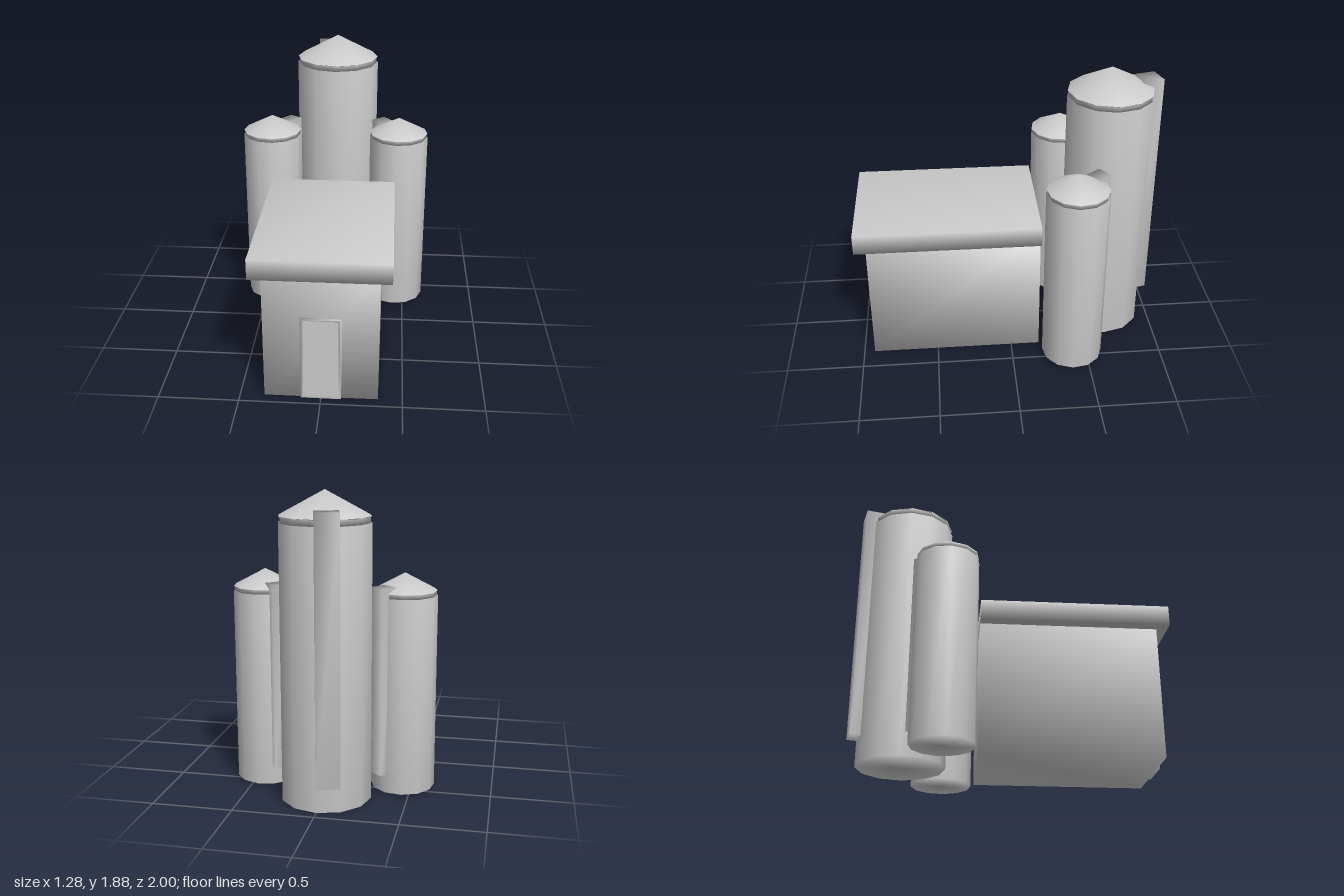
import * as THREE from 'three';
import { mergeVertices } from 'three/addons/utils/BufferGeometryUtils.js';

const material = new THREE.MeshStandardMaterial({ color: 0xcccccc });

// Shared corners give the soft shading that runs across edges.
function weld(geometry) {
  geometry.deleteAttribute('uv');
  geometry.deleteAttribute('normal');
  const welded = mergeVertices(geometry, 1e-4);
  welded.computeVertexNormals();
  return welded;
}

function part(name, geometry, x, y, z, turn = 0) {
  const mesh = new THREE.Mesh(weld(geometry), material);
  mesh.name = name;
  mesh.position.set(x, y, z);
  mesh.rotation.y = turn;
  return mesh;
}

// Box given by its bottom and top heights
function block(name, width, depth, y0, y1, x, z, turn = 0) {
  return part(name, new THREE.BoxGeometry(width, y1 - y0, depth), x, (y0 + y1) / 2, z, turn);
}

// Twelve-sided tower with a shallow cone roof on a narrow rim
function tower(name, { x, z, radius, base, top, rim, peak, turn }) {
  const group = new THREE.Group();
  group.name = name;
  group.add(part('towerBody', new THREE.CylinderGeometry(radius, radius, top - base, 12),
    x, (base + top) / 2, z, turn));
  const inner = radius * 0.965;
  const profile = [[0, top], [inner, top], [inner, rim - 0.005], [radius * 0.99, rim], [0, peak]]
    .map(([r, y]) => new THREE.Vector2(r, y));
  group.add(part('towerRoof', new THREE.LatheGeometry(profile, 12), x, 0, z, turn));
  return group;
}

export function createModel() {
  const model = new THREE.Group();
  model.name = 'keep';

  // Hall with an overhanging flat roof
  model.add(block('hall', 0.7, 1.12, 0, 0.85, 0, 0.37));
  model.add(block('hallRoof', 0.84, 1.19, 0.845, 0.975, 0, 0.405));

  // Door and its thin raised frame
  const outline = new THREE.Shape();
  outline.moveTo(-0.125, 0).lineTo(0.125, 0).lineTo(0.125, 0.565).lineTo(-0.125, 0.565);
  const opening = new THREE.Path();
  opening.moveTo(-0.107, 0.01).lineTo(-0.107, 0.55).lineTo(0.107, 0.55).lineTo(0.107, 0.01);
  outline.holes.push(opening);
  model.add(part('doorFrame',
    new THREE.ExtrudeGeometry(outline, { depth: 0.025, bevelEnabled: false }), 0, 0, 0.92));
  model.add(part('door', new THREE.PlaneGeometry(0.22, 0.555), 0, 0.28, 0.934));

  // Tall rear tower and its chimney
  model.add(tower('mainTower',
    { x: 0, z: -0.66, radius: 0.28, base: 0, top: 1.685, rim: 1.725, peak: 1.875, turn: 0 }));
  model.add(block('mainChimney', 0.145, 0.15, 0.17, 1.77, -0.065, -0.91, 0.25));

  // Mirrored side towers and chimneys
  for (const side of [-1, 1]) {
    const label = side > 0 ? 'left' : 'right';
    model.add(tower(label + 'Tower', {
      x: side * 0.44, z: -0.405, radius: 0.2, base: 0.01, top: 1.23, rim: 1.26, peak: 1.365,
      turn: -side * 0.09,
    }));
    model.add(block(label + 'Chimney', 0.105, 0.115, 0.13, 1.295, side * 0.328, -0.547, side * 0.66));
  }
  return model;
}
